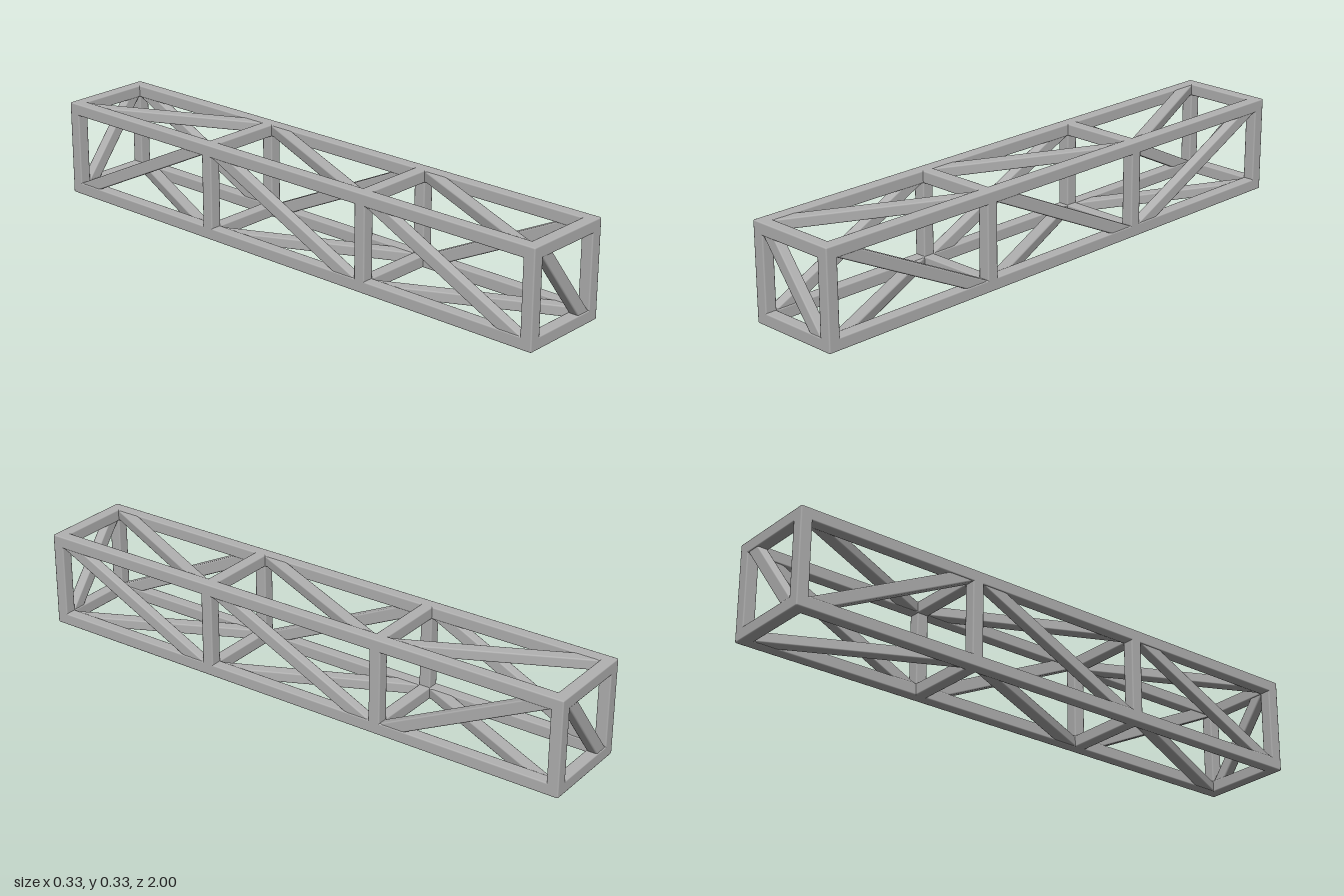
import * as THREE from 'three';
import { RoundedBoxGeometry } from 'three/addons/geometries/RoundedBoxGeometry.js';

const W = 0.042;             // beam thickness
const H = 0.333;             // outer width and height
const C = (H - W) / 2;       // chord centreline offset
const IN = H / 2 - W;        // half of the inner opening
const BEVEL = 0.005;

const X = new THREE.Vector3(1, 0, 0);
const Y = new THREE.Vector3(0, 1, 0);
const Z = new THREE.Vector3(0, 0, 1);

export function createModel() {
  const model = new THREE.Group();
  const truss = new THREE.Group();
  truss.name = 'truss';
  truss.position.y = H / 2;
  model.add(truss);

  const steel = new THREE.MeshStandardMaterial({ color: 0xb2b2b2 });
  steel.name = 'grey steel';

  function beam(name, sx, sy, sz, x, y, z) {
    const mesh = new THREE.Mesh(new RoundedBoxGeometry(sx, sy, sz, 1, BEVEL), steel);
    mesh.name = name;
    mesh.position.set(x, y, z);
    truss.add(mesh);
    return mesh;
  }

  // Brace across a panel: u runs along the panel, v across it, a is half the opening along u.
  // Its edges pass through the opening's inner corners and its ends sit inside the chords.
  function brace(name, center, u, v, a, sign) {
    const angle = Math.atan2(IN, a) + Math.asin(W / 2 / Math.hypot(a, IN));
    const dir = u.clone().multiplyScalar(Math.cos(angle)).addScaledVector(v, sign * Math.sin(angle));
    const normal = u.clone().cross(v);
    const side = normal.clone().cross(dir);
    const mesh = beam(name, 2 * C / Math.sin(angle), W, 0.036, center.x, center.y, center.z);
    mesh.quaternion.setFromRotationMatrix(new THREE.Matrix4().makeBasis(dir, side, normal));
  }

  // Four long chords
  for (const sx of [-1, 1]) {
    for (const sy of [-1, 1]) beam('chord', W, W, 2, sx * C, sy * C, 0);
  }

  // Square frames: posts and cross rails
  const span = 2 * IN + 0.036;
  const frames = [1 - W / 2, 0.333, -0.333, -1 + W / 2];
  for (const z of frames) {
    for (const s of [-1, 1]) {
      beam('post', W, span, W, s * C, 0, z);
      beam('crossRail', span, W, W, 0, s * C, z);
    }
  }

  // One brace per panel, reversed on the opposite face and in the rear bay
  for (let i = 0; i < 3; i++) {
    const z = (frames[i] + frames[i + 1]) / 2;
    const a = (frames[i] - frames[i + 1] - W) / 2;
    const turn = i === 2 ? -1 : 1;
    for (const s of [-1, 1]) {
      brace('sideBrace', new THREE.Vector3(s * C, 0, z), Z, Y, a, s * turn);
      brace('deckBrace', new THREE.Vector3(0, s * C, z), Z, X, a, -s * turn);
    }
  }

  // End braces
  for (const s of [-1, 1]) {
    brace('endBrace', new THREE.Vector3(0, 0, s * (1 - W / 2)), X, Y, IN, -s);
  }

  return model;
}
